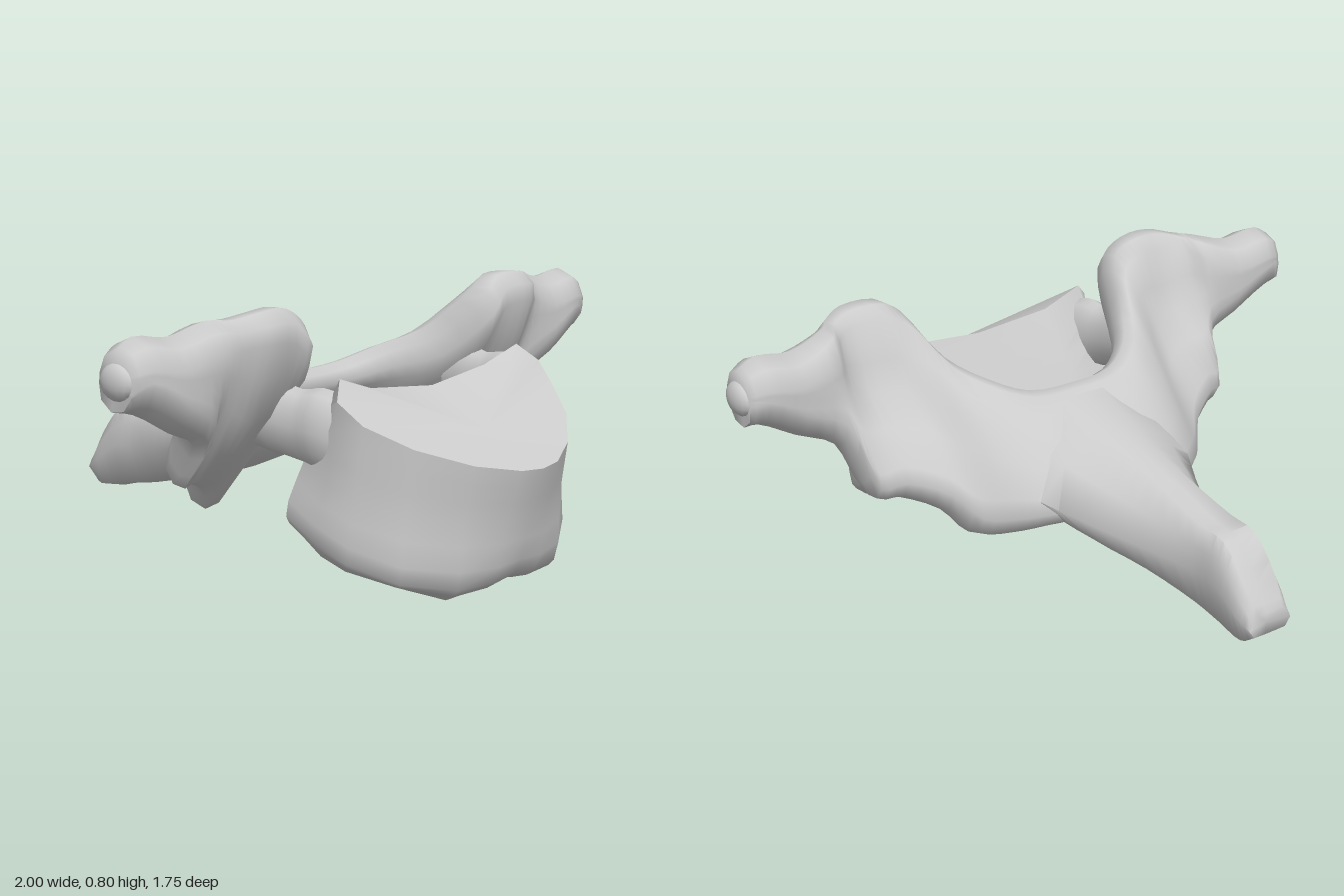
import * as THREE from 'three';
import { toCreasedNormals } from 'three/addons/utils/BufferGeometryUtils.js';

const material = new THREE.MeshStandardMaterial({ color: 0xcccccc });
const V = (x, y, z) => new THREE.Vector3(x, y, z);

// Closed ring from its +x half (first and last points lie on x = 0)
const mirrorRing = (half) => [
  ...half.map((p) => V(...p)),
  ...half.slice(1, -1).reverse().map(([x, y, z]) => V(-x, y, z)),
];

// Smooth skin through matching rings, closed at both ends with a fan
function loft(name, rings, steps, crease, startCap, endCap) {
  const n = rings[0].length;
  const rows = (rings.length - 1) * steps;
  const curves = rings[0].map((_, j) => new THREE.CatmullRomCurve3(rings.map((r) => r[j])));
  const pts = [];
  for (let i = 0; i <= rows; i++) curves.forEach((c) => pts.push(c.getPoint(i / rows)));
  const centre = (ring) => ring.reduce((s, p) => s.add(p), V(0, 0, 0)).divideScalar(n);
  const a = pts.length;
  pts.push(startCap || centre(rings[0]), endCap || centre(rings[rings.length - 1]));

  const index = [];
  for (let j = 0; j < n; j++) {
    const k = (j + 1) % n;
    for (let i = 0; i < rows; i++) {
      const p = i * n, q = p + n;
      index.push(p + j, p + k, q + k, p + j, q + k, q + j);
    }
    index.push(a, k, j, a + 1, rows * n + j, rows * n + k);
  }
  // Turn the faces outward
  let volume = 0;
  for (let i = 0; i < index.length; i += 3) {
    const [p, q, r] = [0, 1, 2].map((k) => pts[index[i + k]]);
    volume += p.dot(q.clone().cross(r));
  }
  if (volume < 0) index.reverse();

  const geometry = new THREE.BufferGeometry().setFromPoints(pts);
  geometry.setIndex(index);
  const mesh = new THREE.Mesh(toCreasedNormals(geometry, crease), material);
  mesh.name = name;
  return mesh;
}

// Bent plate section with rounded ends in the plane of one x
function plateRing([x, uz, uy, mz, my, lz, ly, t]) {
  const curve = new THREE.CatmullRomCurve3([V(x, uy, uz), V(x, my, mz), V(x, ly, lz)]);
  const at = (u, along, across) => {
    const d = curve.getTangent(u);
    return curve.getPoint(u).addScaledVector(d, along * t).addScaledVector(V(0, -d.z, d.y), across * t);
  };
  const steps = [0, 0.25, 0.5, 0.75, 1];
  return [
    at(0, -0.7, 0.7), at(0, -1, 0), at(0, -0.7, -0.7),
    ...steps.map((u) => at(u, 0, -1)),
    at(1, 0.7, -0.7), at(1, 1, 0), at(1, 0.7, 0.7),
    ...steps.reverse().map((u) => at(u, 0, 1)),
  ];
}

export function createModel() {
  const group = new THREE.Group();

  // Vertebral body: tilted block with a saddle-shaped upper face
  const bodyRings = [
    [[0, 0.025, 0.70], [0.09, 0.005, 0.71], [0.2, 0.0, 0.71], [0.33, 0.05, 0.64], [0.41, 0.09, 0.53], [0.42, 0.12, 0.45], [0.41, 0.17, 0.36], [0.25, 0.19, 0.32], [0, 0.18, 0.34]],
    [[0, 0.05, 0.79], [0.09, 0.04, 0.79], [0.22, 0.04, 0.765], [0.36, 0.07, 0.68], [0.44, 0.12, 0.56], [0.46, 0.17, 0.46], [0.45, 0.22, 0.35], [0.26, 0.24, 0.30], [0, 0.23, 0.33]],
    [[0, 0.22, 0.84], [0.09, 0.22, 0.83], [0.22, 0.23, 0.78], [0.35, 0.26, 0.69], [0.43, 0.30, 0.58], [0.445, 0.33, 0.49], [0.42, 0.38, 0.39], [0.26, 0.37, 0.36], [0, 0.37, 0.40]],
    [[0, 0.36, 0.88], [0.08, 0.365, 0.87], [0.21, 0.39, 0.81], [0.34, 0.44, 0.71], [0.42, 0.50, 0.60], [0.445, 0.56, 0.53], [0.39, 0.61, 0.49], [0.25, 0.565, 0.48], [0, 0.54, 0.49]],
  ].map(mirrorRing);
  group.add(loft('vertebralBody', bodyRings, 3, 0.95, V(0, 0.12, 0.52), V(0, 0.44, 0.68)));

  // Arch with articular facets and side wings: x, then upper, middle
  // and lower points as z, y, then half thickness
  const archHalf = [
    [0, 0.01, 0.485, -0.07, 0.43, -0.17, 0.32, 0.045],
    [0.15, 0.02, 0.49, -0.09, 0.405, -0.20, 0.27, 0.05],
    [0.25, 0.08, 0.52, -0.035, 0.415, -0.16, 0.265, 0.06],
    [0.33, 0.19, 0.56, 0.06, 0.44, -0.09, 0.255, 0.075],
    [0.40, 0.325, 0.68, 0.19, 0.50, -0.02, 0.25, 0.08],
    [0.46, 0.335, 0.73, 0.25, 0.53, 0.04, 0.31, 0.07],
    [0.57, 0.345, 0.735, 0.27, 0.53, 0.10, 0.355, 0.065],
    [0.635, 0.315, 0.725, 0.255, 0.57, 0.13, 0.355, 0.06],
    [0.68, 0.27, 0.705, 0.255, 0.60, 0.24, 0.51, 0.075],
    [0.80, 0.255, 0.665, 0.255, 0.62, 0.255, 0.575, 0.083],
    [0.92, 0.25, 0.68, 0.25, 0.66, 0.25, 0.64, 0.082],
    [0.975, 0.25, 0.67, 0.25, 0.65, 0.245, 0.63, 0.062],
  ];
  const archRows = [...archHalf.slice(1).reverse().map(([x, ...r]) => [-x, ...r]), ...archHalf];
  group.add(loft('archAndSideWings', archRows.map(plateRing), 3, 1.3));

  // Rear spine: z, ridge half width, side half width, side height,
  // top, bottom and depth of the cleft at the tip
  const spineRings = [
    [-0.02, 0.08, 0.20, 0.42, 0.515, 0.38, 0],
    [-0.15, 0.06, 0.285, 0.32, 0.475, 0.23, 0],
    [-0.30, 0.05, 0.22, 0.27, 0.43, 0.17, 0],
    [-0.47, 0.05, 0.14, 0.23, 0.38, 0.125, 0],
    [-0.64, 0.055, 0.09, 0.21, 0.335, 0.08, 0.005],
    [-0.74, 0.055, 0.088, 0.20, 0.32, 0.06, 0.01],
    [-0.83, 0.055, 0.085, 0.14, 0.22, 0.04, 0.015],
    [-0.875, 0.045, 0.075, 0.11, 0.15, 0.065, 0.015],
  ].map(([z, r, w, ym, yt, yb, cleft]) => mirrorRing([
    [0, yt - cleft, z + cleft], [r, yt, z], [r * 0.4 + w * 0.6, yt * 0.55 + ym * 0.45, z], [w, ym, z],
    [w * 0.75, yb + 0.02, z], [0, yb + cleft / 2, z + cleft],
  ]));
  group.add(loft('rearSpine', spineRings, 3, 1.4, null, V(0, 0.11, -0.86)));

  for (const s of [-1, 1]) {
    const side = s > 0 ? 'left' : 'right';

    // Pedicle: short oval bridge from body to arch
    const pedicleRings = [
      [0.36, 0.43, 0.54, 0.06, 0.12],
      [0.395, 0.465, 0.44, 0.06, 0.115],
      [0.405, 0.47, 0.37, 0.055, 0.10],
      [0.42, 0.50, 0.24, 0.07, 0.11],
    ].map(([x, y, z, rx, ry]) => Array.from({ length: 12 }, (_, i) => {
      const a = (i / 12) * Math.PI * 2;
      return V(s * (x + rx * Math.cos(a)), y + ry * Math.sin(a), z);
    }));
    group.add(loft(side + 'Pedicle', pedicleRings, 3, 1.2));

    // Small rounded nub at the end of the side wing
    const tip = new THREE.Mesh(new THREE.SphereGeometry(1, 14, 10), material);
    tip.scale.set(0.03, 0.05, 0.06);
    tip.position.set(s * 0.97, 0.65, 0.25);
    tip.name = side + 'WingTip';
    group.add(tip);
  }
  return group;
}
